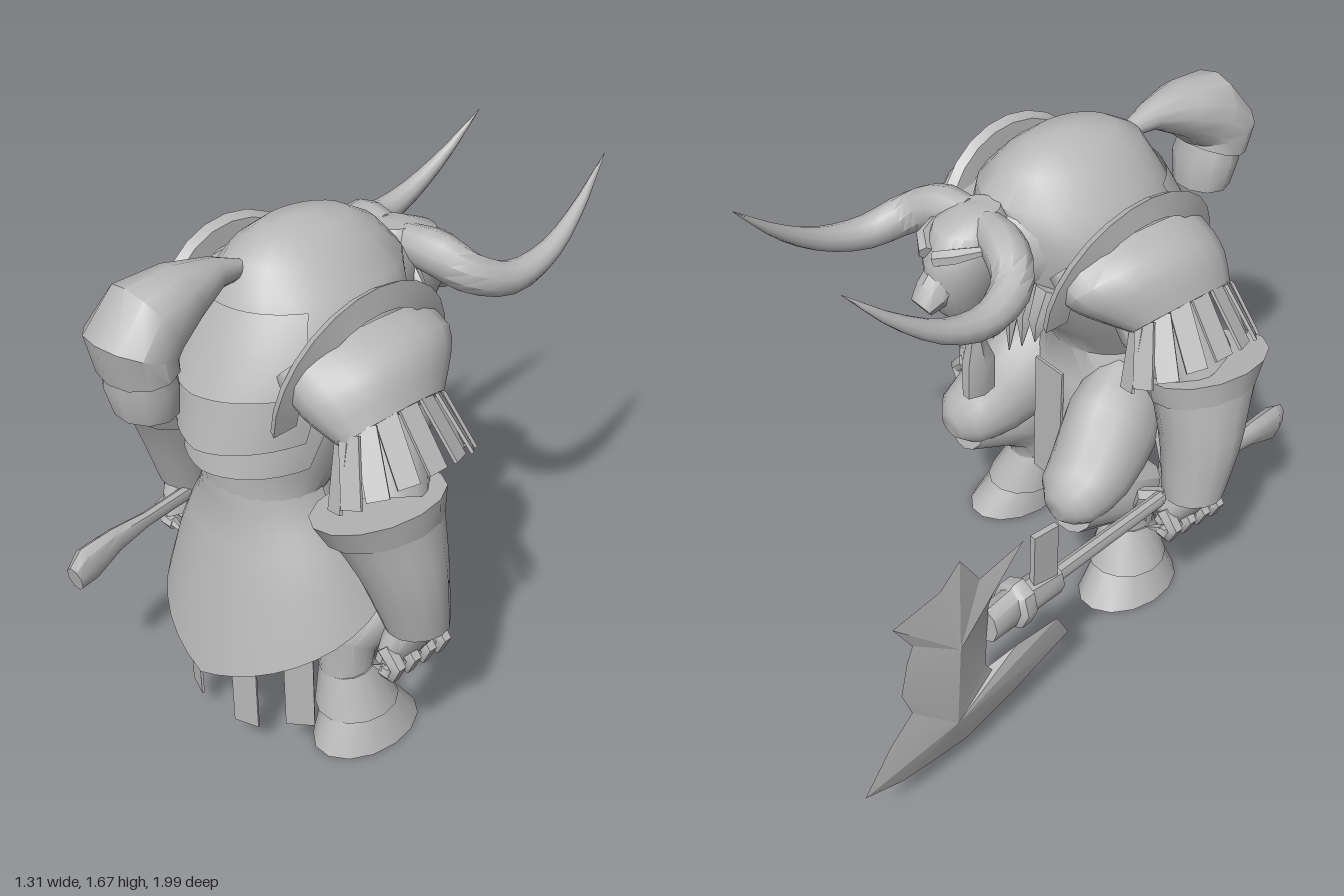
import * as THREE from 'three';
import { toCreasedNormals } from 'three/addons/utils/BufferGeometryUtils.js';

const V = (x, y, z) => new THREE.Vector3(x, y, z);
const X = V(1, 0, 0), Y = V(0, 1, 0), Z = V(0, 0, 1);
const stone = new THREE.MeshStandardMaterial({ color: 0xb8b8b8, side: THREE.DoubleSide });
stone.name = 'stone grey';

function add(parent, name, geometry) {
  const mesh = new THREE.Mesh(geometry, stone);
  mesh.name = name;
  parent.add(mesh);
  return mesh;
}

// Surface through rows of points
function skin(rows, closed, crease = 0.75) {
  const pos = [], idx = [], n = rows[0].length;
  rows.forEach(r => r.forEach(p => pos.push(p.x, p.y, p.z)));
  for (let i = 0; i < rows.length - 1; i++) {
    for (let j = 0; j < (closed ? n : n - 1); j++) {
      const a = i * n + j, b = i * n + (j + 1) % n;
      idx.push(a, b, a + n, b, b + n, a + n);
    }
  }
  const g = new THREE.BufferGeometry();
  g.setAttribute('position', new THREE.Float32BufferAttribute(pos, 3));
  g.setIndex(idx);
  return toCreasedNormals(g, crease);
}

// Closed body through elliptical sections [x, y, z, ra, rb]; ra lies along ref
function loft(s, ref = X, dir = null, n = 14) {
  const c = s.map(p => V(p[0], p[1], p[2]));
  const rows = s.map((p, i) => {
    const t = dir ? dir.clone().normalize() : c[Math.min(i + 1, c.length - 1)].clone().sub(c[Math.max(i - 1, 0)]).normalize();
    const a = ref.clone().addScaledVector(t, -ref.dot(t)).normalize();
    const b = t.clone().cross(a);
    return Array.from({ length: n }, (_, j) => {
      const w = j / n * Math.PI * 2;
      return c[i].clone().addScaledVector(a, Math.cos(w) * p[3]).addScaledVector(b, Math.sin(w) * (p[4] ?? p[3]));
    });
  });
  rows.unshift(Array(n).fill(c[0]));
  rows.push(Array(n).fill(c[c.length - 1]));
  return skin(rows, true);
}

// Extra sections along a smooth path, entries [x, y, z, ra, rb]
function smooth(s, n) {
  const path = new THREE.CatmullRomCurve3(s.map(p => V(p[0], p[1], p[2])));
  const size = new THREE.CatmullRomCurve3(s.map(p => V(p[3], p[4] ?? p[3], 0)));
  return Array.from({ length: n + 1 }, (_, i) => {
    const r = size.getPoint(i / n);
    return [...path.getPoint(i / n).toArray(), r.x, r.y];
  });
}

// Upright body from [y, centre z, rx, rz]
const column = s => loft(s.map(([y, z, rx, rz]) => [0, y, z, rx, rz]), X, Y, 24);

// Curved armour sheet with a pointed hem, rows [y, centre z, rx, rz, drop]
function sheet(rows, span, n = 16) {
  return skin(rows.map(([y, z, rx, rz, drop = 0]) => Array.from({ length: n + 1 }, (_, j) => {
    const u = j / n * 2 - 1, a = u * span;
    return V(rx * Math.sin(a), y - drop * (1 - Math.abs(u)), z + rz * Math.cos(a));
  })), false);
}

function box(parent, name, w, h, d, x, y, z, ry = 0) {
  const m = add(parent, name, new THREE.BoxGeometry(w, h, d));
  m.position.set(x, y, z);
  m.rotation.y = ry;
}

function buildSide(g) {
  // Leg and hoof
  add(g, 'thigh', loft(smooth([[.16, .76, .43, .11, .15], [.21, .67, .31, .15, .18], [.255, .555, .17, .14, .14],
    [.27, .51, .06, .11, .1], [.27, .5, .01, .05, .05]], 8)));
  add(g, 'shin', loft([[.27, .485, .08, .1, .1], [.26, .44, .23, .12, .1], [.25, .36, .37, .095, .125],
    [.25, .24, .37, .08, .09], [.27, .12, .36, .09, .11]]));
  add(g, 'anklePlate', loft([[.25, .25, .37, .085, .09], [.275, .11, .35, .125, .14]], X, Y));
  add(g, 'hoof', loft([[.28, .13, .355, .1, .12], [.3, 0, .335, .135, .195]], X, Y));
  // Cloth strips behind the leg
  box(g, 'innerStrip', .085, .32, .008, .12, .26, .675, .35);
  box(g, 'outerStrip', .09, .38, .008, .265, .32, .58, .7);

  // Arm, bracer and hand
  add(g, 'upperArm', loft([[.29, 1.3, .3, .09, .14], [.37, 1.18, .32, .1, .15], [.46, 1, .4, .11, .13]]));
  add(g, 'bracer', loft(smooth([[.47, .99, .435, .15, .195], [.49, .9, .415, .145, .165],
    [.52, .76, .39, .132, .128], [.54, .57, .355, .1, .095]], 7), X, V(-.12, 1, 0)));
  add(g, 'cuff', loft([[.465, 1.01, .44, .168, .215], [.475, .93, .425, .155, .185]], X, V(-.22, 1, 0)));
  add(g, 'hand', loft([[.54, .6, .355, .07, .08], [.52, .53, .36, .06, .11], [.5, .47, .36, .045, .12]]));
  for (let i = 0; i < 4; i++) {
    const z = .265 + i * .063;
    add(g, 'finger', loft([[.51, .52, z, .03], [.56, .47, z, .027], [.54, .43, z, .024], [.5, .425, z, .02]], Z, null, 6));
    add(g, 'claw', loft([[.51, .435, z, .018], [.44, .4, z - .01, .001]], Z, null, 5));
  }
  add(g, 'thumb', loft([[.5, .56, .28, .03], [.43, .53, .25, .03], [.41, .47, .25, .02], [.44, .42, .26, .002]], Z, null, 6));

  // Shoulder armour
  add(g, 'shoulderPad', loft(smooth([[.22, 1.36, .3, .14, .28], [.3, 1.31, .3, .165, .28], [.36, 1.275, .32, .15, .25],
    [.43, 1.22, .35, .1, .19]], 6), V(.67, .74, 0), V(.74, -.67, 0), 18));
  for (let i = 0; i < 9; i++) {
    const w = (i - 4) * .44, c = Math.cos(w), s = Math.sin(w);
    const along = V(.25 + .4 * c, -.85, .3 * s).normalize();
    const out = V(c, .4 * c, s).normalize();
    const side = along.clone().cross(out).normalize();
    const strip = add(g, 'shoulderStrip', new THREE.BoxGeometry(.065, .2, .01));
    strip.position.set(.43 + .065 * c, 1.22 + .06 * c, .355 + .18 * s).addScaledVector(along, .085);
    strip.quaternion.setFromRotationMatrix(new THREE.Matrix4().makeBasis(side, along, side.clone().cross(along)));
  }
  const arc = (x, r) => Array.from({ length: 15 }, (_, j) => {
    const w = -.15 + j / 14 * (Math.PI + .3);
    return V(x + .07 * Math.sin(w), 1.24 + r * Math.sin(w), .3 + r * Math.cos(w));
  });
  add(g, 'shoulderRidge', skin([arc(.22, .25), arc(.225, .31), arc(.255, .325), arc(.265, .25)], false));

  // Horn, ear and mane tufts
  add(g, 'horn', loft(smooth([[.04, 1.48, -.08, .055], [.15, 1.47, -.1, .068], [.245, 1.42, -.15, .062], [.29, 1.38, -.27, .052],
    [.3, 1.41, -.42, .038], [.285, 1.5, -.57, .022], [.26, 1.635, -.72, .001]], 16), Y, null, 10));
  add(g, 'ear', loft([[.08, 1.41, -.06, .03], [.13, 1.36, -.05, .04, .02], [.16, 1.28, -.04, .002]], Y, null, 6));
  for (let i = 0; i < 3; i++) {
    add(g, 'maneTuft', loft([[.05 + i * .06, 1.28, .05, .045, .035], [.05 + i * .06, 1.18, .01, .035, .025],
      [.04 + i * .06, 1.0 + i * .05, .01, .002]], X, null, 6));
  }
  add(g, 'brow', loft([[.02, 1.43, -.25, .025], [.07, 1.45, -.22, .025], [.11, 1.46, -.15, .015]], Y, null, 6));
}

function buildAxe(parent) {
  const axe = new THREE.Group();
  axe.name = 'axe';
  parent.add(axe);
  add(axe, 'handle', loft([[-.4, .5, .91, .025, .05], [-.42, .515, .85, .04, .068], [-.435, .54, .73, .03, .045],
    [-.45, .545, .6, .02, .027], [-.55, .57, -.24, .022, .03]], X, null, 8));
  add(axe, 'collar', loft([[-.555, .57, -.24, .045, .055], [-.565, .575, -.37, .045, .065], [-.567, .578, -.38, .068, .08],
    [-.572, .58, -.42, .068, .08], [-.575, .582, -.43, .045, .07], [-.59, .585, -.53, .045, .06]], X, null, 8));
  box(axe, 'hook', .02, .2, .09, -.575, .71, -.3);
  // Sharp-edged blade outline as [distance forward, height], thickest at two middle points
  const outline = [[.16, .27], [.22, .38], [.4, .4], [.5, .37], [.53, .42], [.53, .68], [.5, .74], [.4, .85], [.57, .82],
    [.65, .95], [.72, .88], [.89, .86], [.82, .74], [.84, .68], [.86, .56], [.82, .45], [.9, .37], [1, .22], [.85, .16], [.6, .13], [.4, .18]];
  const middle = z => outline.map(p => V(.68, p[1] < .5 ? .32 : .65, z));
  const blade = add(axe, 'blade', skin([middle(-.045), outline.map(p => V(p[0], p[1], 0)), middle(.045)], true, .3));
  blade.rotation.y = 1.67;
  const tilt = new THREE.Group();
  tilt.name = 'bladeTilt';
  tilt.rotation.z = .06;
  tilt.position.x = -.507;
  tilt.add(blade);
  axe.add(tilt);
}

export function createModel() {
  const model = new THREE.Group();
  model.name = 'hornedWarrior';

  // Hunched body
  add(model, 'torso', column([[.5, .42, .16, .16], [.68, .43, .27, .21], [.78, .44, .25, .2], [.9, .445, .2, .19],
    [1, .42, .24, .23], [1.15, .35, .27, .29], [1.3, .32, .31, .33], [1.42, .3, .3, .32], [1.52, .27, .235, .3],
    [1.6, .28, .165, .24], [1.65, .28, .1, .15], [1.67, .28, .02, .04]]));
  // Back armour and skirt
  add(model, 'upperBackPlate', sheet([[1.5, .27, .26, .32], [1.4, .3, .315, .345], [1.29, .32, .32, .385, .03]], .95));
  add(model, 'middleBackPlate', sheet([[1.32, .32, .32, .34], [1.13, .35, .285, .36, .05]], 1.1));
  add(model, 'lowerBackPlate', sheet([[1.18, .35, .28, .31], [1.03, .42, .25, .27, .03]], 1.3));
  add(model, 'skirt', sheet([[.92, .445, .2, .192], [.87, .44, .215, .2], [.81, .435, .25, .205], [.74, .43, .295, .225],
    [.66, .42, .345, .27, .06], [.55, .42, .4, .33, .27]], 1.75, 20));
  box(model, 'loincloth', .13, .46, .01, 0, .59, .215);

  // Head
  add(model, 'neck', loft([[0, 1.38, .12, .22, .2], [0, 1.38, .02, .16, .16], [0, 1.38, -.08, .1, .12]]));
  add(model, 'head', column([[1.53, -.07, .06, .06], [1.49, -.1, .1, .12], [1.4, -.12, .11, .14],
    [1.3, -.13, .085, .13], [1.22, -.13, .06, .09], [1.15, -.1, .035, .05]]));
  add(model, 'muzzle', loft([[0, 1.36, -.18, .06, .07], [0, 1.3, -.25, .055, .055], [0, 1.27, -.29, .04, .035]], X, null, 8));
  add(model, 'beard', loft([[0, 1.18, -.1, .04, .05], [0, 1.07, -.09, .025, .028], [0, .98, -.08, .035, .06],
    [0, .86, -.08, .03, .06]], X, Y, 6));

  // Hanging hair on the back
  add(model, 'hairTail', loft([[0, 1.575, .5, .02, .025], [0, 1.595, .6, .05, .045], [0, 1.58, .72, .1, .085],
    [0, 1.545, .83, .135, .12], [0, 1.49, .885, .15, .115], [0, 1.42, .87, .14, .1]], X, null, 12));
  add(model, 'hairEnd', loft([[0, 1.47, .88, .1, .08], [0, 1.37, .865, .115, .1], [0, 1.28, .855, .1, .085]], X, Y, 10));

  // Mirrored limbs and armour
  for (const s of [1, -1]) {
    const side = new THREE.Group();
    side.name = s > 0 ? 'leftSide' : 'rightSide';
    buildSide(side);
    side.scale.x = s;
    model.add(side);
  }
  buildAxe(model);
  return model;
}
